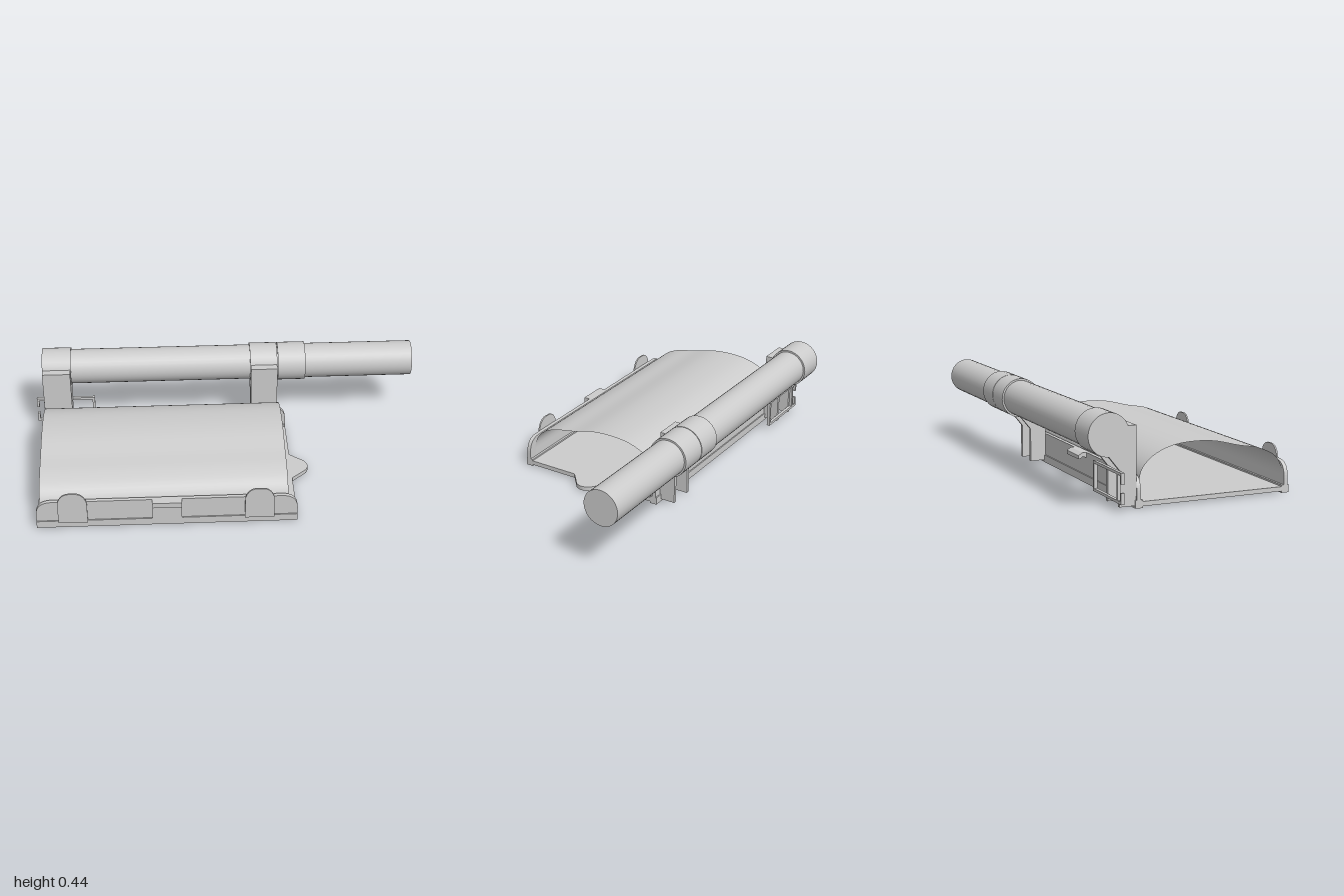
import * as THREE from 'three';

const material = new THREE.MeshStandardMaterial({ color: 0xcccccc });
const sheetMaterial = new THREE.MeshStandardMaterial({ color: 0xcccccc, side: THREE.DoubleSide });

export function createModel() {
  const model = new THREE.Group();

  const add = (name, geometry, x = 0, y = 0, z = 0) => {
    const mesh = new THREE.Mesh(geometry, material);
    mesh.name = name;
    mesh.position.set(x, y, z);
    model.add(mesh);
    return mesh;
  };
  // Box given by its limits on each axis
  const box = (name, x0, x1, y0, y1, z0, z1) =>
    add(name, new THREE.BoxGeometry(x1 - x0, y1 - y0, z1 - z0), (x0 + x1) / 2, (y0 + y1) / 2, (z0 + z1) / 2);
  const extrude = (shape, depth) =>
    new THREE.ExtrudeGeometry(shape, { depth, bevelEnabled: false, curveSegments: 12 });
  const polygon = (points) => new THREE.Shape(points.map(([a, b]) => new THREE.Vector2(a, b)));

  const left = -0.96, right = 0.325;

  // Floor plate
  box('floor', left, right, 0.008, 0.03, -0.285, 0.485);

  // Pull tab with a slanted slot
  const tab = new THREE.Shape();
  tab.moveTo(0.32, -0.01);
  tab.lineTo(0.39, 0.045);
  tab.quadraticCurveTo(0.43, 0.085, 0.4, 0.13);
  tab.lineTo(0.32, 0.2);
  const slot = new THREE.Path();
  slot.absellipse(0.352, 0.06, 0.052, 0.021, 0, Math.PI * 2, true, 0.8);
  tab.holes.push(slot);
  add('pullTab', extrude(tab, 0.022).rotateX(Math.PI / 2), 0, 0.03, 0);

  // Edge rails and upright walls with rounded upper corners
  const wall = new THREE.Shape();
  wall.moveTo(left, 0.03);
  wall.lineTo(right, 0.03);
  wall.lineTo(right, 0.07);
  wall.quadraticCurveTo(right, 0.15, right - 0.08, 0.15);
  wall.lineTo(left + 0.08, 0.15);
  wall.quadraticCurveTo(left, 0.15, left, 0.07);
  const wallGeometry = extrude(wall, 0.02);
  box('frontRail', left, right, 0, 0.038, 0.46, 0.498);
  box('backRail', left, right, 0, 0.038, -0.296, -0.26);
  add('frontWall', wallGeometry, 0, 0, 0.472);
  add('backWall', wallGeometry, 0, 0, -0.29);

  // Rounded thumb tabs on the front wall
  const thumb = new THREE.Shape();
  thumb.moveTo(-0.072, 0.03);
  thumb.lineTo(0.072, 0.03);
  thumb.lineTo(0.072, 0.145);
  thumb.bezierCurveTo(0.065, 0.185, 0.04, 0.205, 0.015, 0.205);
  thumb.lineTo(-0.015, 0.205);
  thumb.bezierCurveTo(-0.04, 0.205, -0.065, 0.185, -0.072, 0.145);
  const thumbGeometry = extrude(thumb, 0.008);
  for (const x of [-0.78, 0.137]) add('thumbTab', thumbGeometry, x, 0, 0.496);

  // Latches at the middle of both walls
  box('frontLatchPlate', -0.39, -0.245, 0.03, 0.15, 0.488, 0.502);
  box('frontLatchLip', -0.39, -0.245, 0.122, 0.15, 0.495, 0.525);
  const lip = polygon([
    [-0.285, 0.122], [-0.285, 0.15], [-0.31, 0.15], [-0.332, 0.138], [-0.332, 0.12], [-0.32, 0.12], [-0.31, 0.132],
  ]);
  add('backLatchLip', extrude(lip, 0.145).rotateY(-Math.PI / 2), -0.245, 0, 0);

  // Thin arched cover
  const profile = new THREE.CatmullRomCurve3([
    [0.47, 0.04], [0.468, 0.12], [0.43, 0.18], [0.35, 0.22], [0.24, 0.242], [0.11, 0.273],
    [0, 0.28], [-0.11, 0.268], [-0.2, 0.23], [-0.255, 0.175], [-0.27, 0.12], [-0.27, 0.04],
  ].map(([z, y]) => new THREE.Vector3(0, y, z)), false, 'centripetal');
  const cover = new THREE.PlaneGeometry(1, 1, 1, 48);
  const pos = cover.attributes.position;
  for (let i = 0; i < pos.count; i++) {
    const p = profile.getPointAt(THREE.MathUtils.clamp(pos.getY(i) + 0.5, 0, 1));
    pos.setXYZ(i, pos.getX(i) < 0 ? 0.28 : -0.94, p.y, p.z);
  }
  // Keep the outside of the arch as the front side
  cover.scale(-1, 1, 1).translate(-0.66, 0, 0);
  cover.computeVertexNormals();
  add('archedCover', cover).material = sheetMaterial;

  // Long tube with wider collars
  const tubeY = 0.345, tubeZ = -0.425;
  const tube = (name, x0, x1, radius) =>
    add(name, new THREE.CylinderGeometry(radius, radius, x1 - x0, 32).rotateZ(Math.PI / 2), (x0 + x1) / 2, tubeY, tubeZ);
  tube('mainTube', -0.95, 1, 0.091);
  tube('endCollar', -0.955, -0.805, 0.1);
  tube('middleCollar', 0.14, 0.283, 0.1);
  tube('clampCollar', 0.287, 0.432, 0.1);

  // Channel pillars: face plate and two side ribs that reach under the tube
  const rib = polygon([
    [-0.292, 0.012], [-0.292, 0.38], [-0.36, 0.38], [-0.425, 0.34], [-0.425, 0.246], [-0.372, 0.18], [-0.372, 0.012],
  ]);
  const ribGeometry = extrude(rib, 0.018).rotateY(-Math.PI / 2);
  for (const [x0, x1] of [[-0.953, -0.807], [0.142, 0.281]]) {
    box('pillarPlate', x0, x1, 0.012, 0.38, -0.31, -0.29);
    box('pillarCap', x0, x1, 0.362, 0.38, -0.37, -0.3);
    add('pillarRib', ribGeometry, x0 + 0.018, 0, 0);
    add('pillarRib', ribGeometry, x1, 0, 0);
  }

  // Flat rectangular bracket behind the end pillar, open at its outer end
  const z0 = -0.386, z1 = -0.37;
  box('bracketTop', -1, -0.69, 0.165, 0.178, z0, z1);
  box('bracketBottom', -1, -0.69, 0.034, 0.047, z0, z1);
  box('bracketInnerEnd', -0.703, -0.69, 0.034, 0.178, z0, z1);
  box('bracketOuterTop', -1, -0.988, 0.125, 0.178, z0, z1);
  box('bracketOuterBottom', -1, -0.988, 0.034, 0.087, z0, z1);
  box('bracketPost', -0.962, -0.95, 0.034, 0.178, z0, z1);

  return model;
}
